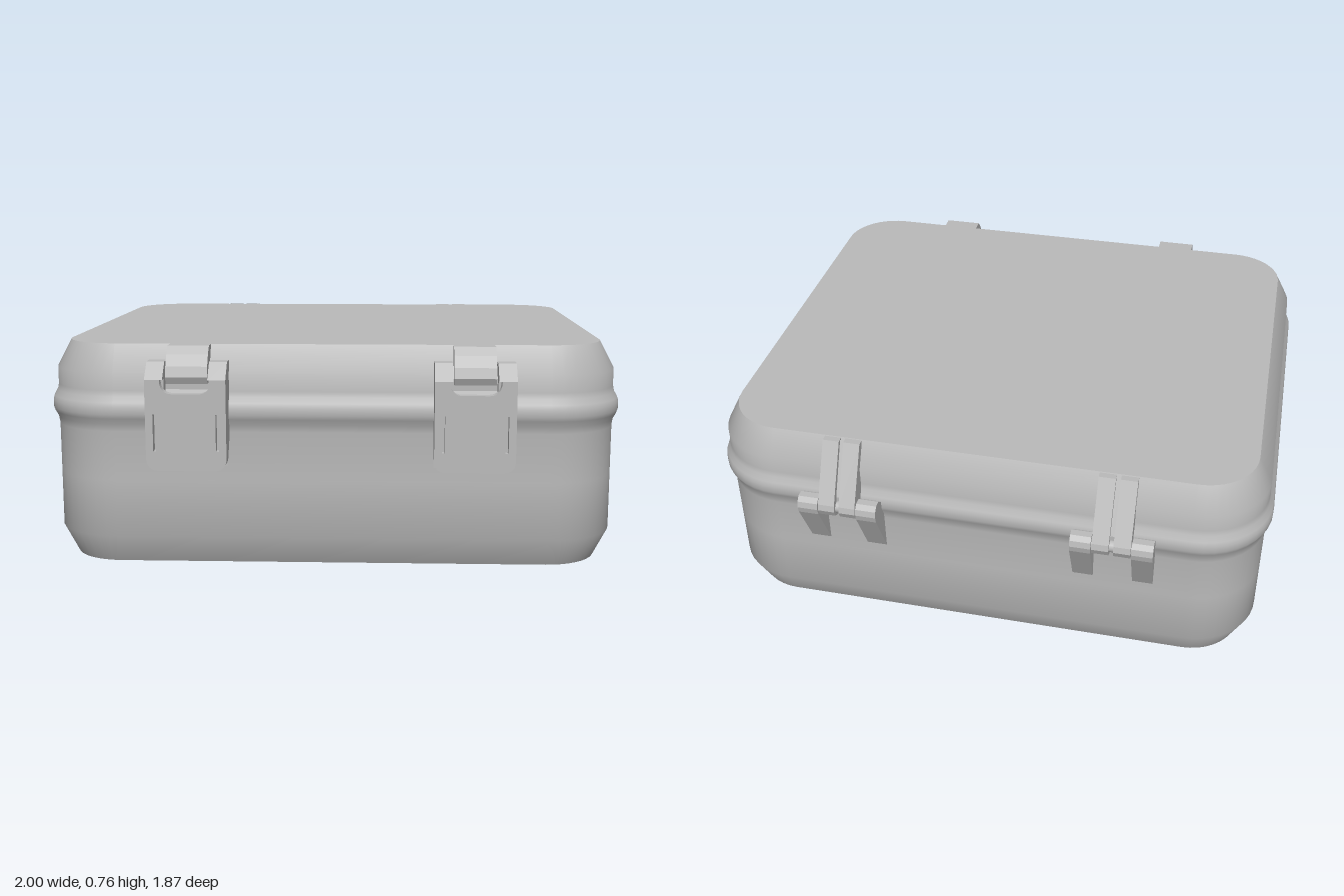
import * as THREE from 'three';
import { toCreasedNormals } from 'three/addons/utils/BufferGeometryUtils.js';

const grey = new THREE.MeshStandardMaterial({ color: 0xbababa });
grey.name = 'plain grey';

function part(name, geometry) {
  const mesh = new THREE.Mesh(geometry, grey);
  mesh.name = name;
  return mesh;
}

// Rounded-rectangle rings stacked along [y, offset] profile points, closed by caps
function caseGeometry(profile) {
  const radius = 0.24, cx = 0.74, cz = 0.605, steps = 10;
  const pos = [], index = [], n = 4 * (steps + 1);
  for (const [y, offset] of profile) {
    for (let q = 0; q < 4; q++) {
      const sx = q === 0 || q === 3 ? 1 : -1, sz = q < 2 ? 1 : -1;
      for (let s = 0; s <= steps; s++) {
        const a = (q + s / steps) * Math.PI / 2, r = radius + offset;
        pos.push(sx * cx + r * Math.cos(a), y, sz * cz + r * Math.sin(a));
      }
    }
  }
  const last = (profile.length - 1) * n;
  const bottom = profile.length * n, top = bottom + 1;
  pos.push(0, profile[0][0], 0, 0, profile[profile.length - 1][0], 0);
  for (let i = 0; i < n; i++) {
    const j = (i + 1) % n;
    for (let r = 0; r < last; r += n) {
      index.push(r + j, r + i, r + n + i, r + j, r + n + i, r + n + j);
    }
    index.push(bottom, i, j, top, last + j, last + i);
  }
  const g = new THREE.BufferGeometry();
  g.setAttribute('position', new THREE.Float32BufferAttribute(pos, 3));
  g.setIndex(index);
  return toCreasedNormals(g, 0.8);
}

// Side profile of [z, y] points extruded across x from x0 to x1
function sideExtrude(points, x0, x1) {
  const shape = new THREE.Shape(points.map(([z, y]) => new THREE.Vector2(z, y)));
  const g = new THREE.ExtrudeGeometry(shape, { depth: x1 - x0, bevelEnabled: false });
  g.rotateY(-Math.PI / 2);
  g.translate(x1, 0, 0);
  return g;
}

// Lever plate with rounded lower corners, finger notch and two slits
function leverPlate() {
  const w = 0.135, r = 0.045, low = 0.353, high = 0.66;
  const s = new THREE.Shape();
  s.moveTo(-w, high);
  s.lineTo(-w, low + r);
  s.quadraticCurveTo(-w, low, -w + r, low);
  s.lineTo(w - r, low);
  s.quadraticCurveTo(w, low, w, low + r);
  s.lineTo(w, high);
  s.lineTo(0.085, high);
  s.quadraticCurveTo(0.085, 0.615, 0.045, 0.613);
  s.lineTo(-0.045, 0.613);
  s.quadraticCurveTo(-0.085, 0.615, -0.085, high);
  s.closePath();
  for (const x of [-0.105, 0.105]) {
    const slit = new THREE.Path();
    slit.moveTo(x - 0.005, 0.42);
    slit.lineTo(x - 0.005, 0.545);
    slit.lineTo(x + 0.005, 0.545);
    slit.lineTo(x + 0.005, 0.42);
    slit.closePath();
    s.holes.push(slit);
  }
  const g = new THREE.ExtrudeGeometry(s, { depth: 0.03, bevelEnabled: false });
  g.translate(0, 0, 0.905);
  return g;
}

function createLatch() {
  const latch = new THREE.Group();
  latch.name = 'latch';
  latch.add(part('latchLever', leverPlate()));
  // Solid behind the lever, stepped back to form the finger pocket
  latch.add(part('latchCore', sideExtrude([
    [0.84, 0.47], [0.905, 0.365], [0.905, 0.605], [0.87, 0.62], [0.87, 0.66], [0.84, 0.7],
  ], -0.085, 0.085)));
  // Cheeks either side of the pocket
  for (const [x0, x1] of [[-0.135, -0.075], [0.075, 0.135]]) {
    latch.add(part('latchCheek', sideExtrude([
      [0.84, 0.47], [0.905, 0.365], [0.905, 0.66], [0.935, 0.66], [0.883, 0.715], [0.835, 0.715],
    ], x0, x1)));
  }
  // Catch on the lid that the lever hooks over
  latch.add(part('lidCatch', sideExtrude([
    [0.795, 0.765], [0.845, 0.765], [0.872, 0.738], [0.895, 0.7], [0.905, 0.665],
    [0.895, 0.642], [0.87, 0.642], [0.82, 0.68],
  ], -0.07, 0.07)));
  return latch;
}

function createHinge() {
  const hinge = new THREE.Group();
  hinge.name = 'hinge';
  // Paired upper leaves with a narrow groove between
  const upper = [[-0.8, 0.765], [-0.823, 0.765], [-0.93, 0.562], [-0.935, 0.54],
    [-0.925, 0.517], [-0.9, 0.505], [-0.84, 0.56], [-0.83, 0.66]];
  // Lower leaves taper down onto the base
  const lower = [[-0.835, 0.335], [-0.845, 0.34], [-0.93, 0.517], [-0.935, 0.54], [-0.93, 0.562],
    [-0.915, 0.577], [-0.89, 0.578], [-0.87, 0.56], [-0.84, 0.55]];
  for (const s of [-1, 1]) {
    const leaf = (name, pts, a, b) =>
      hinge.add(part(name, sideExtrude(pts, Math.min(s * a, s * b), Math.max(s * a, s * b))));
    leaf('upperHingeLeaf', upper, 0.008, 0.066);
    leaf('lowerHingeLeaf', lower, 0.069, 0.141);
  }
  // Web closing the groove, and the pin
  hinge.add(part('hingeWeb', sideExtrude(
    [[-0.81, 0.763], [-0.9, 0.58], [-0.9, 0.53], [-0.83, 0.56]], -0.01, 0.01)));
  const pin = new THREE.CylinderGeometry(0.022, 0.022, 0.27, 16);
  pin.rotateZ(Math.PI / 2);
  pin.translate(0, 0.54, -0.9);
  hinge.add(part('hingePin', pin));
  return hinge;
}

export function createModel() {
  const model = new THREE.Group();
  model.name = 'carryCase';
  // Base and lid with chamfered edges and a rounded rim around the seam
  model.add(part('caseShell', caseGeometry([
    [0, -0.05], [0.1, 0], [0.3, 0], [0.47, 0], [0.495, 0.004], [0.515, 0.015], [0.53, 0.02],
    [0.555, 0.02], [0.57, 0.015], [0.59, 0.004], [0.61, 0], [0.67, 0], [0.765, -0.05],
  ])));
  for (const x of [-0.48, 0.48]) {
    const latch = createLatch(), hinge = createHinge();
    latch.position.x = x;
    hinge.position.x = x;
    model.add(latch, hinge);
  }
  return model;
}
